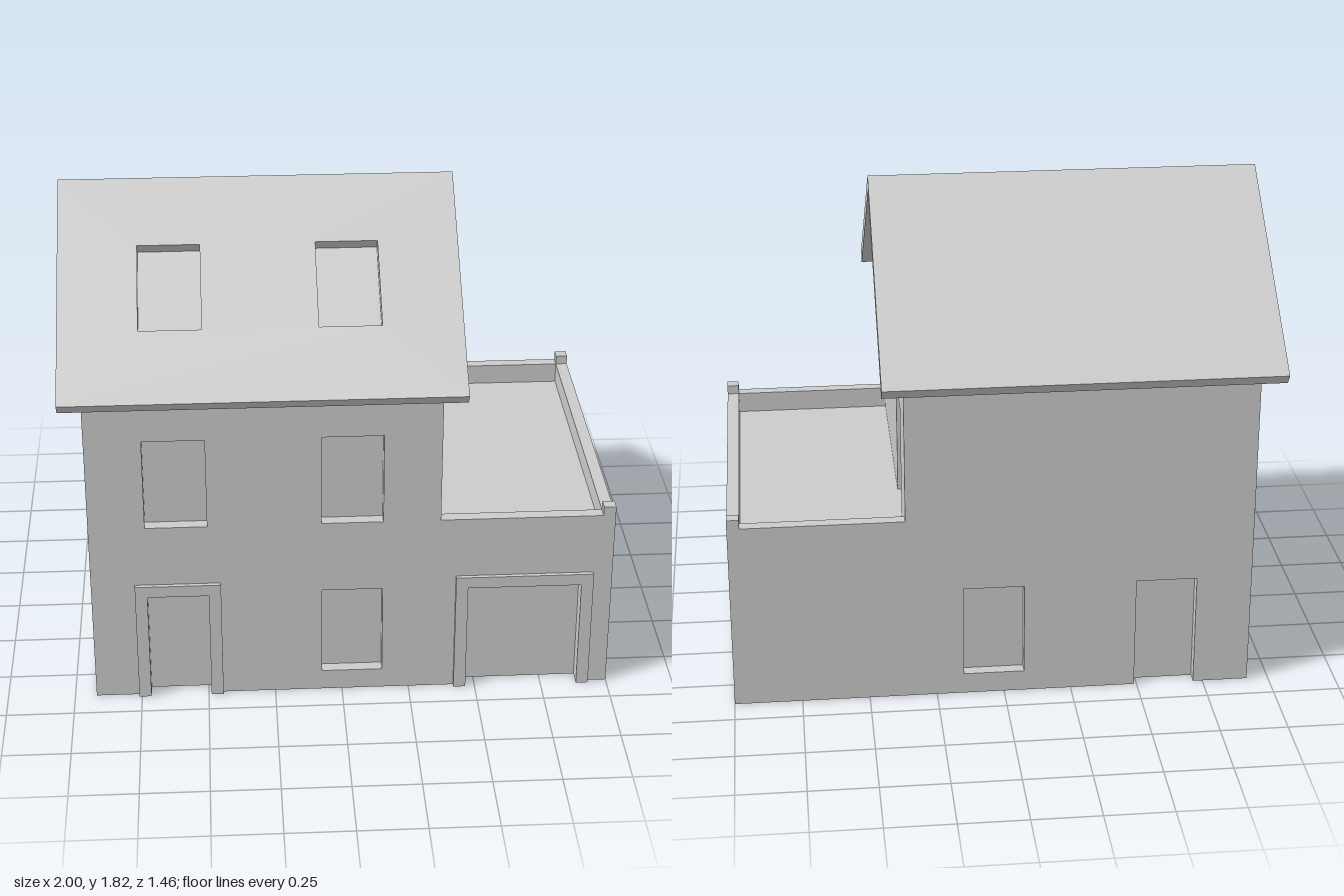
import * as THREE from 'three';

const material = new THREE.MeshStandardMaterial({ color: 0xcccccc, flatShading: true });
const T = 0.045;                              // wall thickness and recess depth
const FLOOR = 0.64, PARAPET = 0.72;           // terrace levels
const LEFT = -0.92, MID = 0.36, RIGHT = 1, HALF = 0.64;
const RIDGE = 1.82, EAVE_Y = 1.27, EAVE_Z = 0.73, ROOF_T = 0.048;
const SLOPE = (RIDGE - EAVE_Y) / EAVE_Z;
const underside = z => 1.76 - SLOPE * Math.abs(z);

// Closed path round a rectangle
const rect = (x0, x1, y0, y1) => [[x0, y0], [x1, y0], [x1, y1], [x0, y1]];
// Points cutting a doorway into a bottom edge that runs left to right
const doorway = (x0, x1, y0, y1) => [[x0, y0], [x0, y1], [x1, y1], [x1, y0]];

function slab(name, outline, holes, depth) {
  const toV = pts => pts.map(p => new THREE.Vector2(p[0], p[1]));
  const shape = new THREE.Shape(toV(outline));
  for (const h of holes) shape.holes.push(new THREE.Path(toV(h)));
  const geo = new THREE.ExtrudeGeometry(shape, { depth, bevelEnabled: false });
  const mesh = new THREE.Mesh(geo, material);
  mesh.name = name;
  return mesh;
}

function block(name, x0, x1, y0, y1, z0, z1) {
  const mesh = new THREE.Mesh(new THREE.BoxGeometry(x1 - x0, y1 - y0, z1 - z0), material);
  mesh.position.set((x0 + x1) / 2, (y0 + y1) / 2, (z0 + z1) / 2);
  mesh.name = name;
  return mesh;
}

export function createModel() {
  const house = new THREE.Group();
  house.name = 'house';

  const colA = [-0.715, -0.49], colB = [-0.075, 0.15], garage = [0.465, 0.885];
  const low = [0.08, 0.435], high = [0.72, 1.075], side = [0.2, 0.43];
  const inner = HALF - T;

  // Front and back walls, L-shaped across house and annex
  const longWall = (name, doors, windows, z) => {
    const top = underside(HALF);
    const outline = [[LEFT, 0], ...doors.flatMap(d => doorway(d[0], d[1], 0, low[1])),
      [RIGHT, 0], [RIGHT, PARAPET], [MID, PARAPET], [MID, top], [LEFT, top]];
    const wall = slab(name, outline, windows, T);
    wall.position.z = z;
    house.add(wall);
  };
  longWall('frontWall', [colA, garage],
    [rect(...colA, ...high), rect(...colB, ...high), rect(...colB, ...low)], inner);
  longWall('backWall', [colA], [rect(...colB, ...low)], -HALF);

  // Side walls, drawn facing +x
  const sideWall = (name, outline, holes, x, depth = T) => {
    const wall = slab(name, outline, holes, depth);
    wall.rotation.y = Math.PI / 2;
    wall.position.x = x;
    house.add(wall);
  };
  const gableTop = [[inner, underside(inner)], [0, underside(0)], [-inner, underside(inner)]];
  const gable = [[-inner, 0], [inner, 0], ...gableTop];
  sideWall('gableWall', gable, [rect(...side, ...high)], LEFT);
  sideWall('terraceGableWall',
    [[-inner, FLOOR], ...doorway(...side, FLOOR, high[1]), [inner, FLOOR], ...gableTop], [], MID - T);
  sideWall('annexSideWall', rect(-inner, inner, 0, PARAPET), [rect(...side, ...low)], RIGHT - T);

  // Solid cores close the window and door recesses and form the terrace floor
  sideWall('houseCore', gable, [], LEFT + T, MID - LEFT - 2 * T);
  house.add(block('terraceFloor', MID - T, RIGHT - T, 0, FLOOR, -inner, inner));

  // Raised parapet corners
  for (const s of [-1, 1]) {
    const z = s * (HALF - T / 2);
    house.add(block('parapetCorner', RIGHT - T, RIGHT, PARAPET, 0.755, z - T / 2, z + T / 2));
  }

  // Projecting frames round the front door and garage door
  const frame = (name, [x0, x1]) => {
    const m = slab(name, [[x0 - T, 0], ...doorway(x0, x1, 0, low[1]),
      [x1 + T, 0], [x1 + T, low[1] + T], [x0 - T, low[1] + T]], [], 0.016);
    m.position.z = HALF;
    house.add(m);
  };
  frame('frontDoorFrame', colA);
  frame('garageDoorFrame', garage);

  // Roof slopes, hung from the ridge; the front one has two skylights
  const roofX = -0.28, length = Math.hypot(EAVE_Z, RIDGE - EAVE_Y), perZ = length / EAVE_Z;
  const skylights = [colA, colB].map(c =>
    rect(c[0] - roofX, c[1] - roofX, -0.5 * perZ, -0.225 * perZ));
  const roofSlope = (name, holes, turn) => {
    const m = slab(name, rect(-0.72, 0.72, -length, 0), holes, ROOF_T);
    m.geometry.translate(0, 0, -ROOF_T);
    m.rotation.x = -Math.atan2(EAVE_Z, RIDGE - EAVE_Y);
    const pivot = new THREE.Group();
    pivot.name = name;
    pivot.position.set(roofX, RIDGE, 0);
    pivot.rotation.y = turn;
    pivot.add(m);
    house.add(pivot);
  };
  roofSlope('frontRoof', skylights, 0);
  roofSlope('backRoof', [], Math.PI);

  return house;
}
